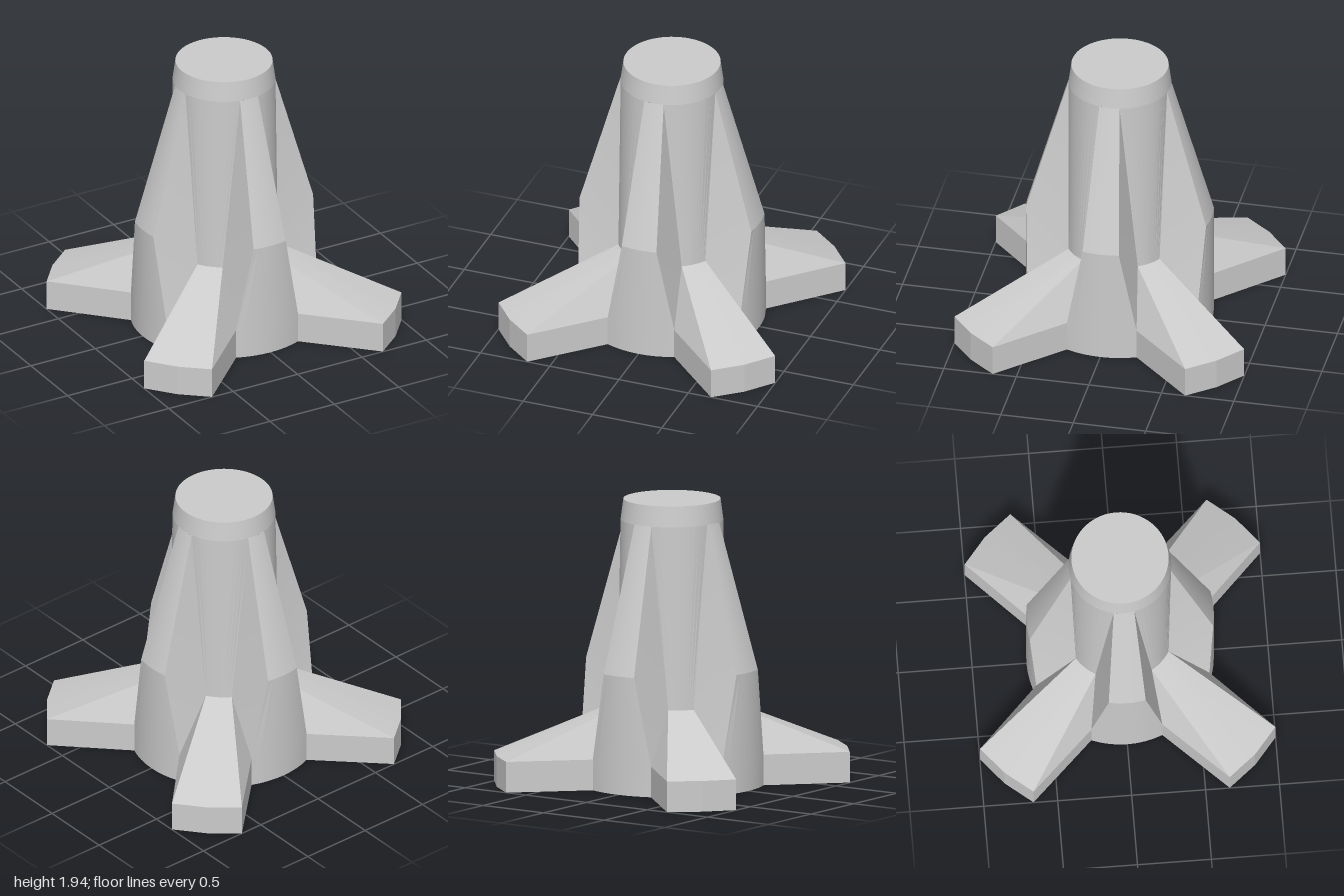
import * as THREE from 'three';
import { toCreasedNormals } from 'three/addons/utils/BufferGeometryUtils.js';

const rad = THREE.MathUtils.degToRad;

// Point at a radius, an angle in degrees turned from +z towards +x, and a height
const at = (r, deg, y) => new THREE.Vector3(r * Math.sin(rad(deg)), y, r * Math.cos(rad(deg)));

// Row of points along an arc
const arc = (r, from, to, y, n) =>
  Array.from({ length: n + 1 }, (_, i) => at(r, from + ((to - from) * i) / n, y));

// Triangles joining a lower row to an upper row, facing outwards
function loft(lower, upper) {
  const out = [];
  for (let i = 0; i < lower.length - 1; i++) {
    out.push(lower[i], lower[i + 1], upper[i + 1], lower[i], upper[i + 1], upper[i]);
  }
  return out;
}

// Triangle fan about the axis; down flips it to face the ground
function fan(row, y, down) {
  const centre = new THREE.Vector3(0, y, 0);
  return row.flatMap((p, i) => {
    const q = row[(i + 1) % row.length];
    return down ? [centre, q, p] : [centre, p, q];
  });
}

function part(name, points, material) {
  const geometry = toCreasedNormals(new THREE.BufferGeometry().setFromPoints(points), 0.17);
  const mesh = new THREE.Mesh(geometry, material);
  mesh.name = name;
  return mesh;
}

// Shared corner rings: [radius, half angle of the buttress, height]
const FOOT_Y = 0.21, TOP_Y = 1.94;
const base = [0.633, 22.3], shoulder = [0.633, 11.4, 0.81];
const neck = [0.347, 11.6, 1.8], root = [0.367, 31.2, 0.55];
const toe = [1.199, 33.6];

function buttressPoints() {
  const row = ([r, a], y) => arc(r, -a, a, y, 8);
  const rows = [row(base, 0), row(base, FOOT_Y), row(shoulder, shoulder[2]), row(neck, neck[2])];
  const out = [];
  for (let i = 0; i < 3; i++) out.push(...loft(rows[i], rows[i + 1]));
  // Sloping cheeks running back to the column
  for (const s of [1, -1]) {
    const e = at(base[0], s * base[1], FOOT_Y);
    const [a, b, c] = [shoulder, root, neck].map(([r, d, y]) => at(r, s * d, y));
    out.push(...(s > 0 ? [e, b, a, a, b, c] : [e, a, b, a, c, b]));
  }
  return out;
}

// Outline of a foot from one buttress corner round to the next
const footRow = (y) => [
  at(base[0], base[1], y), at(toe[0], toe[1], y), at(toe[0], 45, y),
  at(toe[0], 90 - toe[1], y), at(base[0], 90 - base[1], y),
];

function footPoints() {
  const rim = footRow(FOOT_Y);
  const ridge = arc(root[0], root[1], 90 - root[1], root[2], 2);
  return [
    ...loft(footRow(0), rim),
    ...loft(rim.slice(1, 4), ridge),
    rim[0], rim[1], ridge[0],
    rim[3], rim[4], ridge[2],
  ];
}

// Strip of column showing between two buttresses
function columnPoints() {
  const row = ([r, a, y]) => arc(r, a, 90 - a, y, 12);
  return loft(row(root), row(neck));
}

export function createModel() {
  const group = new THREE.Group();
  const material = new THREE.MeshStandardMaterial({ color: 0xcccccc });

  // Four identical quarters: buttress, foot and column strip
  const parts = [
    part('buttress', buttressPoints(), material),
    part('foot', footPoints(), material),
    part('columnStrip', columnPoints(), material),
  ];
  for (let q = 0; q < 4; q++) {
    const quarter = new THREE.Group();
    quarter.name = 'quarter' + (q + 1);
    parts.forEach((p) => quarter.add(p.clone()));
    quarter.rotation.y = (q * Math.PI) / 2;
    group.add(quarter);
  }

  // Collar tapering to the flat top
  const rim = arc(0.328, 0, 360, TOP_Y, 64);
  group.add(part('collar', loft(arc(neck[0], 0, 360, neck[2], 64), rim), material));
  group.add(part('topCap', fan(rim.slice(0, -1), TOP_Y, false), material));

  // Flat underside following the buttresses and feet
  const outline = [];
  for (let q = 0; q < 4; q++) {
    const quarter = [...arc(base[0], -base[1], base[1], 0, 8), ...footRow(0).slice(1, 4)];
    outline.push(...quarter.map((p) => p.applyAxisAngle(new THREE.Vector3(0, 1, 0), (q * Math.PI) / 2)));
  }
  group.add(part('underside', fan(outline, 0, true), material));
  return group;
}
